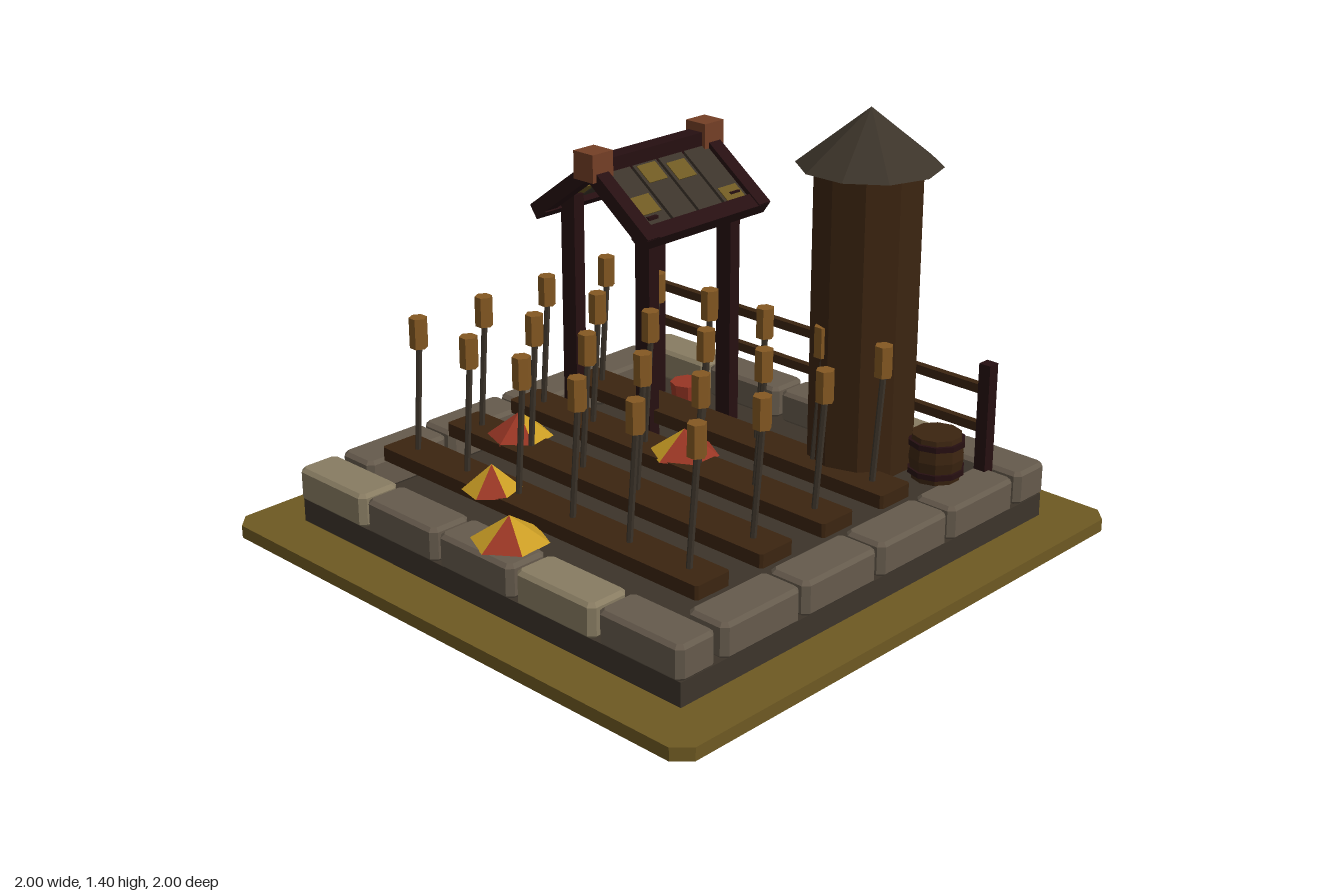
import * as THREE from 'three';

const mat = (name, color) => {
  const m = new THREE.MeshStandardMaterial({ color, flatShading: true });
  m.name = name;
  return m;
};

export function createModel() {
  const M = {
    grass: mat('olive grass', 0x6e5922),
    dark: mat('dark slate soil', 0x3c342a),
    pale: mat('pale stone', 0x887c62),
    stone: mat('brown stone', 0x655a4c),
    wood: mat('brown wood', 0x3b2410),
    beam: mat('dark maroon beam', 0x260f11),
    head: mat('golden brown wood', 0x845822),
    cap: mat('rust cap', 0x743f26),
    red: mat('red leaves', 0x983624),
    yellow: mat('yellow leaves', 0xc99c24),
  };
  const root = new THREE.Group();
  root.name = 'gardenPlot';

  const add = (name, geo, material, x, y, z, parent = root) => {
    const mesh = new THREE.Mesh(geo, material);
    mesh.name = name;
    mesh.position.set(x, y, z);
    parent.add(mesh);
    return mesh;
  };
  const box = (name, material, w, h, d, x, y, z, parent) =>
    add(name, new THREE.BoxGeometry(w, h, d), material, x, y, z, parent);
  const group = (name, x = 0, y = 0, z = 0, parent = root) => {
    const g = new THREE.Group();
    g.name = name;
    g.position.set(x, y, z);
    parent.add(g);
    return g;
  };

  // Block with cut corners, standing on y = 0, optionally with bevelled edges
  const cutBlock = (w, h, d, c, bevel = 0) => {
    const a = w / 2 - bevel, b = d / 2 - bevel;
    const shape = new THREE.Shape([
      [a - c, -b], [a, -b + c], [a, b - c], [a - c, b],
      [-a + c, b], [-a, b - c], [-a, -b + c], [-a + c, -b],
    ].map(([x, y]) => new THREE.Vector2(x, y)));
    const geo = new THREE.ExtrudeGeometry(shape, {
      depth: h - 2 * bevel, bevelEnabled: bevel > 0,
      bevelThickness: bevel, bevelSize: bevel, bevelSegments: 1,
    });
    geo.translate(0, 0, bevel);
    return geo.rotateX(-Math.PI / 2);
  };

  // Ground plate and soil
  add('groundPlate', cutBlock(2, 0.042, 2, 0.05), M.grass, 0, 0, 0);
  box('soil', M.dark, 1.67, 0.08, 1.67, 0, 0.08, 0);

  // Stone border: five stones front and back, four down each side
  const border = group('stoneBorder');
  const longStone = cutBlock(0.325, 0.112, 0.15, 0.012, 0.012);
  const sideStone = cutBlock(0.15, 0.112, 0.325, 0.012, 0.012);
  for (const s of [-1, 1]) {
    for (let i = 0; i < 5; i++) {
      const m = i % 3 === 0 ? M.pale : M.stone;
      add('borderStone', longStone, m, (i - 2) * 0.34, 0.119, s * 0.771, border);
    }
    for (let i = 0; i < 4; i++) {
      add('borderStone', sideStone, M.stone, s * 0.771, 0.119, (i - 1.5) * 0.34, border);
    }
  }

  // Planting beds with rows of leaning stalks
  const bedGeo = cutBlock(1.385, 0.045, 0.14, 0.008);
  const stalkGeo = new THREE.CylinderGeometry(0.01, 0.01, 0.38, 6);
  const headGeo = new THREE.CylinderGeometry(0.029, 0.029, 0.1, 6).rotateY(Math.PI / 6);
  for (const z of [0.55, 0.28, 0.005, -0.268]) {
    const row = group('plantingRow', 0, 0, z);
    add('bed', bedGeo, M.wood, -0.003, 0.23, 0, row);
    for (let i = 0; i < 6; i++) {
      const x = -0.573 + i * 0.239;
      add('stalk', stalkGeo, M.dark, x - 0.013, 0.455, 0, row).rotation.z = -0.08;
      add('stalkHead', headGeo, M.head, x, 0.68, 0, row);
    }
  }

  // Leaf piles: low six-sided cones, each face red or yellow (1 = red)
  const pile = (x, y, z, r, turn, faces) => {
    const geo = new THREE.ConeGeometry(r, 0.082, 6);
    const cap = geo.groups[1];
    geo.clearGroups();
    faces.forEach((f, i) => geo.addGroup(i * 3, 3, f));
    geo.addGroup(cap.start, cap.count, 0);
    add('leafPile', geo, [M.yellow, M.red], x, y + 0.041, z).rotation.y = turn;
  };
  pile(0.03, 0.23, 0.725, 0.122, 0.1, [1, 0, 0, 0, 0, 0]);
  pile(-0.21, 0.272, 0.58, 0.095, 0.3, [1, 0, 0, 0, 0, 0]);
  pile(-0.455, 0.272, 0.245, 0.11, 0.2, [1, 0, 0, 0, 0, 1]);
  pile(0.025, 0.272, -0.025, 0.115, 0.0, [1, 1, 1, 0, 0, 0]);
  pile(-0.06, 0.12, -0.48, 0.102, 0.2, [0, 0, 0, 1, 1, 0]);

  // Silo
  const silo = group('silo', 0.422, 0, -0.42);
  add('siloWall', new THREE.CylinderGeometry(0.174, 0.174, 0.98, 10), M.wood, 0, 0.74, 0, silo);
  add('siloRoof', new THREE.ConeGeometry(0.227, 0.18, 10), M.dark, 0, 1.312, 0, silo)
    .rotation.y = Math.PI / 2;

  // Barrel
  const barrel = group('barrel', 0.655, 0.23, -0.51);
  const profile = [[0, 0], [0.078, 0], [0.09, 0.075], [0.08, 0.15], [0, 0.15]]
    .map(([r, y]) => new THREE.Vector2(r, y));
  add('barrelBody', new THREE.LatheGeometry(profile, 10), M.wood, 0, 0, 0, barrel);
  for (const y of [0.03, 0.125]) {
    add('barrelHoop', new THREE.CylinderGeometry(0.092, 0.092, 0.018, 10), M.beam, 0, y, 0, barrel);
  }

  // Back fence
  const fence = group('fence', 0, 0, -0.66);
  for (const x of [-0.735, 0.73]) box('fencePost', M.beam, 0.042, 0.47, 0.042, x, 0.355, 0, fence);
  for (const y of [0.37, 0.5]) box('fenceRail', M.wood, 1.46, 0.03, 0.025, 0, y, 0, fence);

  // Open shelter: posts, rafters, ridge and slatted roof
  const shelter = group('shelter', -0.487, 0, -0.395);
  const slope = Math.atan2(0.19, 0.26);
  for (const s of [-1, 1]) {
    for (const z of [-0.195, 0.195]) {
      box('shelterPost', M.beam, 0.064, 0.83, 0.045, s * 0.175, 0.535, z, shelter);
    }
    box('eaveBeam', M.beam, 0.055, 0.05, 0.585, s * 0.238, 0.9, 0, shelter).rotation.z = -s * slope;
    const side = group('roofSide', s * 0.127, 0.987, 0, shelter);
    side.rotation.z = -s * slope;
    for (const z of [-0.265, 0.265]) box('rafter', M.beam, 0.335, 0.05, 0.055, 0, 0, z, side);
    // Slats with thin moss patches on both faces
    [0.09, -0.06, -0.08, 0.03].forEach((px, i) => {
      const z = (i - 1.5) * 0.122;
      box('roofSlat', M.dark, 0.29, 0.018, 0.11, 0, 0, z, side);
      box('mossPatch', M.grass, 0.075, 0.024, 0.085, s * px, 0, z, side);
    });
  }
  box('ridgeBeam', M.beam, 0.062, 0.06, 0.58, 0, 1.085, 0, shelter);
  for (const z of [-0.263, 0.263]) box('ridgeCap', M.cap, 0.09, 0.095, 0.092, 0, 1.098, z, shelter);

  // Bucket beneath the shelter
  add('bucket', new THREE.CylinderGeometry(0.062, 0.05, 0.1, 8), M.red, -0.47, 0.17, -0.56);

  return root;
}
